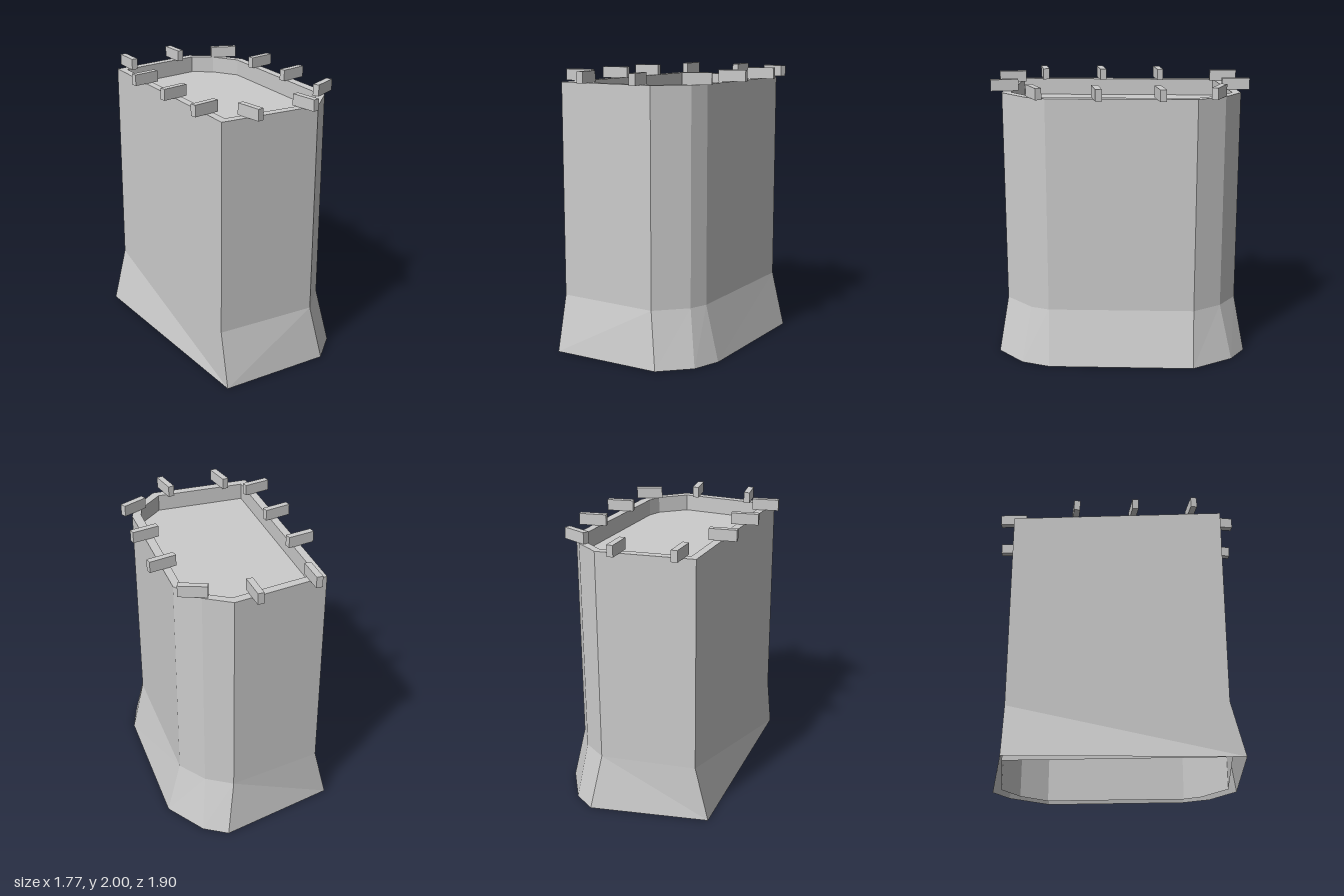
import * as THREE from 'three';

// Plan outlines [x, z], all in the same corner order
const FOOT = [[-0.885, -0.25], [-0.36, -0.93], [-0.17, -0.955], [0.15, -0.855], [0.81, -0.06], [0.885, 0.14], [0.855, 0.415], [0.245, 0.95]];
const WALL = [[-0.81, -0.315], [-0.36, -0.83], [-0.15, -0.855], [0.075, -0.79], [0.74, 0.005], [0.785, 0.135], [0.76, 0.41], [0.185, 0.875]];
const INNER = [[-0.735, -0.31], [-0.325, -0.78], [-0.16, -0.8], [0.045, -0.74], [0.69, 0.05], [0.73, 0.15], [0.7, 0.38], [0.19, 0.79]];
const BASE_H = 0.4, TOP_H = 1.92, FLOOR_H = 1.8;

// Faceted band from ring a (height ya) up to ring b (height yb), facing outward;
// sides listed in flip use the other diagonal
function band(a, ya, b, yb, flip = []) {
  const pos = [];
  for (let i = 0; i < a.length; i++) {
    const j = (i + 1) % a.length;
    const p = [a[i][0], ya, a[i][1]], q = [a[j][0], ya, a[j][1]];
    const r = [b[j][0], yb, b[j][1]], s = [b[i][0], yb, b[i][1]];
    const tris = flip.includes(i) ? [p, r, q, p, s, r] : [q, p, s, q, s, r];
    pos.push(...tris.flat());
  }
  const g = new THREE.BufferGeometry();
  g.setAttribute('position', new THREE.Float32BufferAttribute(pos, 3));
  g.computeVertexNormals();
  return g;
}

export function createModel() {
  const group = new THREE.Group();
  const stone = new THREE.MeshStandardMaterial({ color: 0xcccccc, flatShading: true, side: THREE.DoubleSide });
  stone.name = 'stone';
  const add = (geometry, name) => {
    const mesh = new THREE.Mesh(geometry, stone);
    mesh.name = name;
    group.add(mesh);
    return mesh;
  };

  // Tower shell, open underneath, with a flared skirt around its foot
  add(band(WALL, 0, WALL, TOP_H), 'towerWall');
  add(band(FOOT, 0, WALL, BASE_H, [0, 7]), 'flaredSkirt');

  // Parapet: flat rim and the inside wall down to the roof floor
  add(band(WALL, TOP_H, INNER, TOP_H), 'parapetRim');
  add(band(INNER, TOP_H, INNER, FLOOR_H), 'parapetInside');

  // Roof floor
  const floorShape = new THREE.Shape(INNER.map(([x, z]) => new THREE.Vector2(x, -z)));
  const floor = new THREE.ShapeGeometry(floorShape);
  floor.rotateX(-Math.PI / 2);
  floor.translate(0, FLOOR_H, 0);
  add(floor, 'roofFloor');

  // Battlement blocks laid across the rim: x, z, direction x, direction z
  const blocks = [
    [-0.455, -0.715, 25, 28], [-0.74, -0.395, 24, 28],
    [-0.51, 0.045, 24, -28], [-0.23, 0.375, 24, -30], [0.045, 0.71, 24, -30],
    [0.35, 0.74, 29, 24], [0.68, 0.47, 29, 24],
    [0.765, 0.085, 16, -36], [0.515, -0.265, 24, -30], [0.24, -0.595, 24, -30],
    [-0.085, -0.845, 36, -12],
  ];
  const blockGeometry = new THREE.BoxGeometry(0.195, 2 - TOP_H, 0.045);
  for (const [x, z, dx, dz] of blocks) {
    const block = add(blockGeometry, 'battlementBlock');
    block.position.set(x, (2 + TOP_H) / 2, z);
    block.rotation.y = Math.atan2(-dz, dx);
  }
  return group;
}
